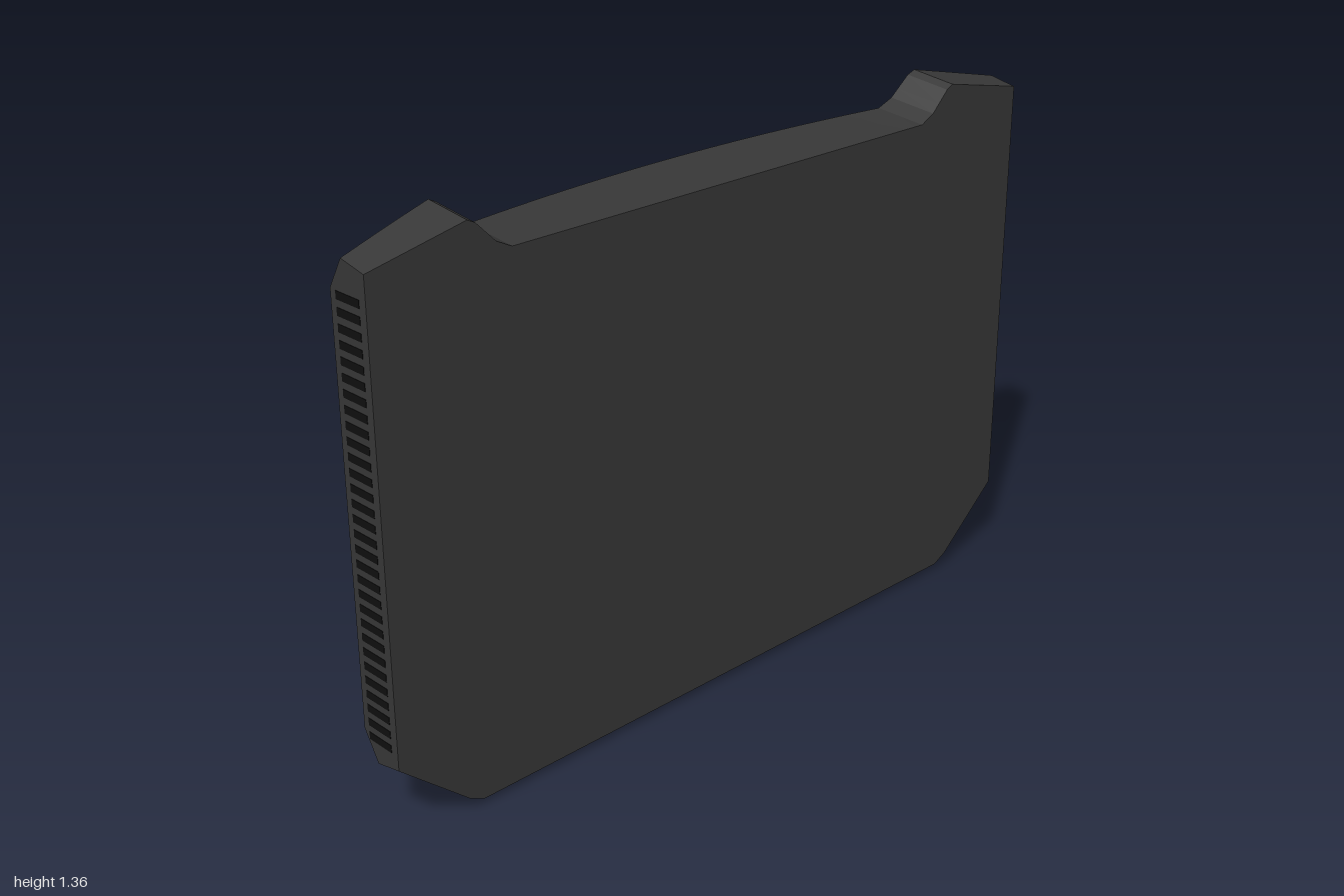
import * as THREE from 'three';
import { toCreasedNormals } from 'three/addons/utils/BufferGeometryUtils.js';

const mat = (name, color) => new THREE.MeshStandardMaterial({ name, color });

// Piecewise-linear profile through [x, y] points
const profile = (pts) => (x) => {
  for (let i = 1; i < pts.length; i++) {
    const [x0, y0] = pts[i - 1], [x1, y1] = pts[i];
    if (x <= x1) return y0 + (y1 - y0) * Math.max(0, (x - x0) / (x1 - x0));
  }
  return pts[pts.length - 1][1];
};

const FRONT = 0.115;
const backZ = (x) => -0.117 + 0.117 * x * x;
const ridgeZ = (x) => -0.07 + 0.112 * x * x;
const topY = profile([[0, 1.28], [0.64, 1.28], [0.68, 1.3], [0.73, 1.35], [0.75, 1.36], [1, 1.31]]);
const bottomY = profile([[0, 0], [0.78, 0], [0.82, 0.02], [1, 0.175]]);
const notch = profile([[0, 0], [0.119, 0], [0.12, 0.005], [0.45, 0.005], [0.549, 0.015], [0.55, 0], [1, 0]]);

// Six-point cross-section: over the top, down the back, under the bottom
function section(x) {
  const a = Math.abs(x), t = topY(a), b = bottomY(a), n = notch(a);
  return [
    [x, t - 0.015, FRONT], [x, t, ridgeZ(x)], [x, t - 0.07, backZ(x)],
    [x, b + 0.07, backZ(x)], [x, b + n, ridgeZ(x)], [x, b + Math.max(n, 0.015), FRONT],
  ];
}

// Skin a row of cross-sections ordered by rising x
function loft(rows, closed = false) {
  const pos = [];
  const tri = (...p) => p.forEach((v) => pos.push(...v));
  const n = rows[0].length;
  for (let k = 0; k < rows.length - 1; k++) {
    const r = rows[k], s = rows[k + 1];
    for (let i = 0; i < (closed ? n : n - 1); i++) {
      const j = (i + 1) % n;
      tri(r[i], s[i], s[j]);
      tri(r[i], s[j], r[j]);
    }
  }
  if (closed) {
    const first = rows[0], last = rows[rows.length - 1];
    for (let i = 1; i < n - 1; i++) {
      tri(first[0], first[i], first[i + 1]);
      tri(last[0], last[i + 1], last[i]);
    }
  }
  const g = new THREE.BufferGeometry();
  g.setAttribute('position', new THREE.Float32BufferAttribute(pos, 3));
  return toCreasedNormals(g, 0.3);
}

// Evenly spaced x values plus the profile corners
function columns(x0, x1, extra = []) {
  const xs = new Set([x0, x1, ...extra]);
  for (let i = -19; i < 20; i++) if (i / 20 > x0 && i / 20 < x1) xs.add(i / 20);
  return [...xs].sort((a, b) => a - b);
}

// Part of one face of the body, between fractions t0 and t1, lifted by dy and dz
function facePatch(x0, x1, side, t0, t1, dy, dz) {
  return loft(columns(x0, x1).map((x) => {
    const s = section(x), p = s[side], q = s[side + 1];
    return [t0, t1].map((t) => [x, p[1] + (q[1] - p[1]) * t + dy, p[2] + (q[2] - p[2]) * t + dz]);
  }));
}

export function createModel() {
  const group = new THREE.Group();
  const body = mat('charcoal', 0x383838);
  const light = mat('grey panel', 0x616161);
  const dark = mat('vent black', 0x101010);
  const trim = mat('trim grey', 0x484848);
  const add = (name, geometry, material) => {
    const m = new THREE.Mesh(geometry, material);
    m.name = name;
    group.add(m);
    return m;
  };

  // Curved slab with chamfered back edges and raised top corners
  const corners = [0.119, 0.12, 0.45, 0.549, 0.55, 0.64, 0.68, 0.73, 0.75, 0.78, 0.82];
  const bodyColumns = columns(-1, 1, corners.flatMap((c) => [c, -c]));
  add('body', loft(bodyColumns.map(section), true), body);

  // Diagonal light panel following the curved back
  const upper = profile([[-0.74, 0.2], [0.545, 1.2], [0.65, 1.21], [0.73, 1.27], [0.97, 1.235]]);
  const lower = profile([[-0.74, 0.18], [0.85, 0.18], [0.97, 0.26]]);
  const panelRows = columns(-0.74, 0.97, [0.545, 0.65, 0.73, 0.85]).map((x) =>
    [[x, upper(x), backZ(x) - 0.003], [x, lower(x), backZ(x) - 0.003]]);
  add('backPanel', loft(panelRows), light);

  // Long slot below the top chamfer, with a latch plate in the middle
  const slotRows = columns(-0.65, 0.65).map((x) =>
    [[x, 1.207, backZ(x) - 0.004], [x, 1.196, backZ(x) - 0.004]]);
  add('topSlot', loft(slotRows), dark);
  add('latchPlate', facePatch(-0.12, 0.12, 1, 0.6, 0.97, 0.002, -0.003), light);

  // Two tiny holes in the back
  for (const x of [-0.2, 0.19]) {
    const hole = add('backHole', new THREE.CircleGeometry(0.008, 12), dark);
    hole.rotation.y = Math.PI;
    hole.position.set(x, 0.98, backZ(x) - 0.006);
  }

  for (const s of [-1, 1]) {
    // Column of side vents
    for (let i = 0; i < 30; i++) {
      const vent = add('sideVent', new THREE.BoxGeometry(0.004, 0.018, 0.076), dark);
      vent.position.set(s * 0.999, 0.235 + i * 0.0343, 0.056);
    }
    // Slanted vents on the lower corner chamfers
    for (let i = 0; i < 9; i++) {
      const x = s * (0.83 + i * 0.018);
      add('cornerVent', facePatch(x - 0.0045, x + 0.0045, 3, 0.12, 0.88, -0.002, -0.003), dark);
    }
    // Pads set into the bottom notches
    const [x0, x1] = s > 0 ? [0.13, 0.54] : [-0.54, -0.13];
    add('bottomPad', facePatch(x0, x1, 4, 0.1, 0.6, -0.002, 0), trim);
  }
  return group;
}
